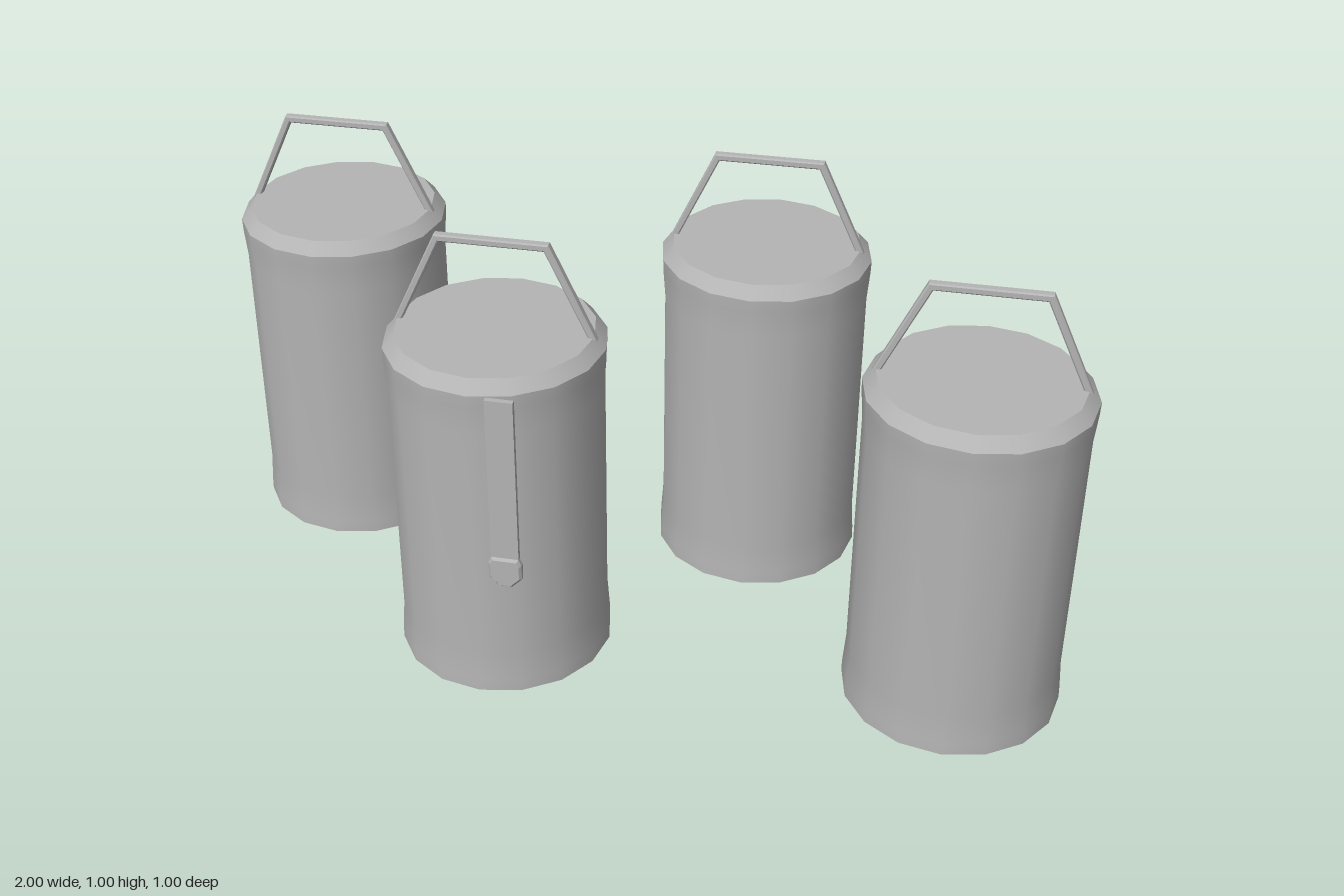
import * as THREE from 'three';

const SIDES = 16;

export function createModel() {
  const model = new THREE.Group();
  model.name = 'canisterSet';
  const grey = new THREE.MeshStandardMaterial({ color: 0xb4b4b4 });
  grey.name = 'grey';

  const add = (parent, name, geometry, x = 0, y = 0, z = 0) => {
    const mesh = new THREE.Mesh(geometry, grey);
    mesh.name = name;
    mesh.position.set(x, y, z);
    parent.add(mesh);
    return mesh;
  };
  const points = (list) => list.map(([x, y]) => new THREE.Vector2(x, y));
  const lathe = (list) => new THREE.LatheGeometry(points(list), SIDES);
  const disc = (r, turn) => lathe(turn > 0 ? [[r, 0], [0, 0]] : [[0, 0], [r, 0]]);

  // Side wall flaring slightly at the foot and below the rim
  const wall = lathe([[0.24, 0], [0.239, 0.03], [0.234, 0.1], [0.234, 0.67], [0.239, 0.735], [0.24, 0.765]]);
  // Sloping rim, flat lid and base
  const rim = lathe([[0.24, 0.765], [0.215, 0.793]]);
  const lid = disc(0.215, 1);
  const base = disc(0.24, -1);

  // Bail handle: an open trapezoid of thin bar with softened edges
  const bevel = 0.003;
  const handleShape = new THREE.Shape(points([
    [-0.218, 0.788], [-0.12, 0.997], [0.12, 0.997], [0.218, 0.788],
    [0.207, 0.788], [0.114, 0.987], [-0.114, 0.987], [-0.207, 0.788],
  ]));
  const handle = new THREE.ExtrudeGeometry(handleShape, {
    depth: 0.014, bevelEnabled: true, bevelThickness: bevel, bevelSize: bevel, bevelSegments: 1,
  });
  handle.translate(0, 0, -0.007);

  const spots = [[-0.763, -0.26], [-0.253, 0.245], [0.247, -0.26], [0.761, 0.245]];
  spots.forEach(([x, z], i) => {
    const canister = new THREE.Group();
    canister.name = `canister${i + 1}`;
    canister.position.set(x, 0, z);
    add(canister, 'wall', wall);
    add(canister, 'rim', rim);
    add(canister, 'lid', lid, 0, 0.793);
    add(canister, 'base', base);
    add(canister, 'handle', handle);
    model.add(canister);
  });

  // Hanging strap with a pointed tab on one canister
  const strap = new THREE.Group();
  strap.name = 'strap';
  strap.position.set(-0.18, 0, 0.487);
  add(strap, 'strapBand', new THREE.BoxGeometry(0.06, 0.4, 0.012), 0, 0.565, 0);
  const tabShape = new THREE.Shape(points([
    [-0.026, 0.373], [-0.031, 0.362], [-0.031, 0.33], [-0.012, 0.311],
    [0.012, 0.311], [0.031, 0.33], [0.031, 0.362], [0.026, 0.373],
  ]));
  const tab = new THREE.ExtrudeGeometry(tabShape, {
    depth: 0.01, bevelEnabled: true, bevelThickness: 0.006, bevelSize: 0.005, bevelSegments: 1,
  });
  add(strap, 'strapTab', tab, 0, 0, -0.004);
  model.add(strap);

  return model;
}
